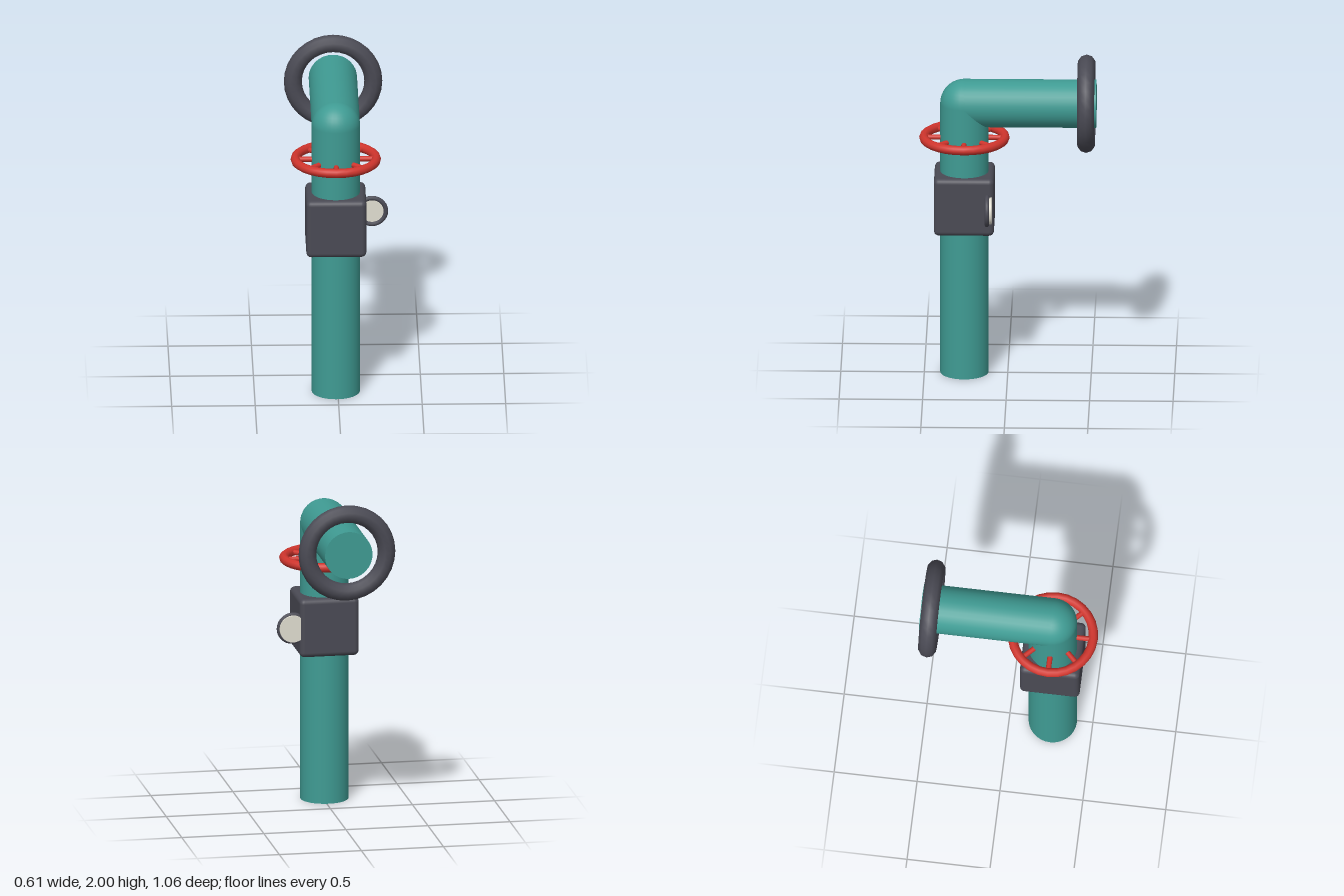
import * as THREE from 'three';
import { RoundedBoxGeometry } from 'three/addons/geometries/RoundedBoxGeometry.js';

const material = (name, color) => {
  const m = new THREE.MeshStandardMaterial({ color });
  m.name = name;
  return m;
};

export function createModel() {
  const teal = material('teal paint', 0x3f9b93);
  const dark = material('dark metal', 0x4a4a54);
  const red = material('red paint', 0xd0352d);
  const cream = material('cream dial', 0xe0ddd0);

  const X = -0.012, Z = 0.26; // axis of the upright pipe
  const R = 0.145, ELBOW = 1.705, END = -0.53;

  const model = new THREE.Group();
  model.name = 'pipeWithValve';
  const add = (name, geometry, mat, x, y, z, parent = model) => {
    const mesh = new THREE.Mesh(geometry, mat);
    mesh.name = name;
    mesh.position.set(x, y, z);
    parent.add(mesh);
    return mesh;
  };

  // Pipe: upright run, rounded elbow, horizontal run to the back
  add('uprightPipe', new THREE.CylinderGeometry(R, R, ELBOW, 32), teal, X, ELBOW / 2, Z);
  add('elbow', new THREE.SphereGeometry(R, 32, 20), teal, X, ELBOW, Z);
  add('horizontalPipe', new THREE.CylinderGeometry(R, R, Z - END, 32), teal, X, ELBOW, (Z + END) / 2)
    .rotation.x = Math.PI / 2;

  // Loose ring around the outlet
  add('outletRing', new THREE.TorusGeometry(0.241, 0.054, 10, 32), dark, X, ELBOW, -0.47);

  // Valve housing
  add('valveBox', new RoundedBoxGeometry(0.36, 0.36, 0.36, 3, 0.03), dark, X, 1.097, Z);

  // Hand wheel with spokes passing through the pipe
  const wheel = new THREE.Group();
  wheel.name = 'handWheel';
  wheel.position.set(X, 1.487, Z);
  model.add(wheel);
  add('wheelRim', new THREE.TorusGeometry(0.243, 0.028, 10, 28), red, 0, 0, 0, wheel)
    .rotation.x = Math.PI / 2;
  for (let i = 0; i < 4; i++) {
    add('wheelSpoke', new THREE.CylinderGeometry(0.016, 0.016, 0.44, 10), red, 0, 0, 0, wheel)
      .rotation.set(0, i * Math.PI / 4, Math.PI / 2, 'YXZ');
  }

  // Pressure gauge on the side of the housing
  const gauge = new THREE.Group();
  gauge.name = 'gauge';
  gauge.position.set(0.208, 1.097, 0.12);
  model.add(gauge);
  add('gaugeDial', new THREE.CylinderGeometry(0.082, 0.082, 0.03, 28), cream, 0, 0, -0.013, gauge)
    .rotation.x = Math.PI / 2;
  add('gaugeRim', new THREE.TorusGeometry(0.083, 0.014, 10, 28), dark, 0, 0, 0, gauge);

  return model;
}
